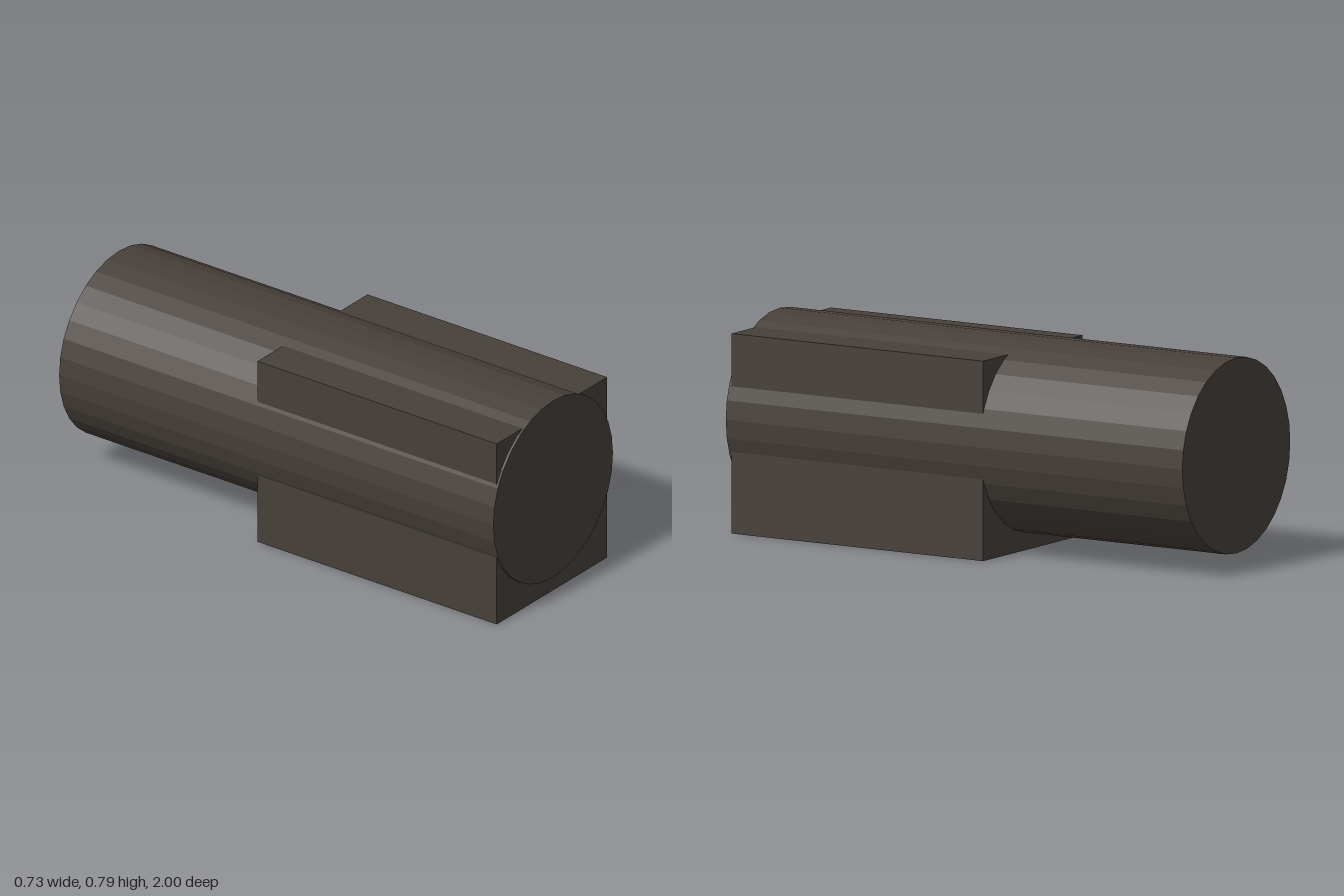
import * as THREE from 'three';

export function createModel() {
  const group = new THREE.Group();
  const darkBrown = new THREE.MeshStandardMaterial({ color: 0x47403a, flatShading: true });
  darkBrown.name = 'dark brown';

  const add = (name, geometry, x, y, z) => {
    const mesh = new THREE.Mesh(geometry, darkBrown);
    mesh.name = name;
    mesh.position.set(x, y, z);
    group.add(mesh);
  };

  // Long faceted barrel running front to back
  add('barrel', new THREE.CylinderGeometry(0.365, 0.365, 2, 32).rotateX(Math.PI / 2), 0, 0.427, 0);

  // Square housing around the front half, just short of the barrel's end
  add('housing', new THREE.BoxGeometry(0.673, 0.746, 1.103), 0.006, 0.373, 0.4385);

  return group;
}
